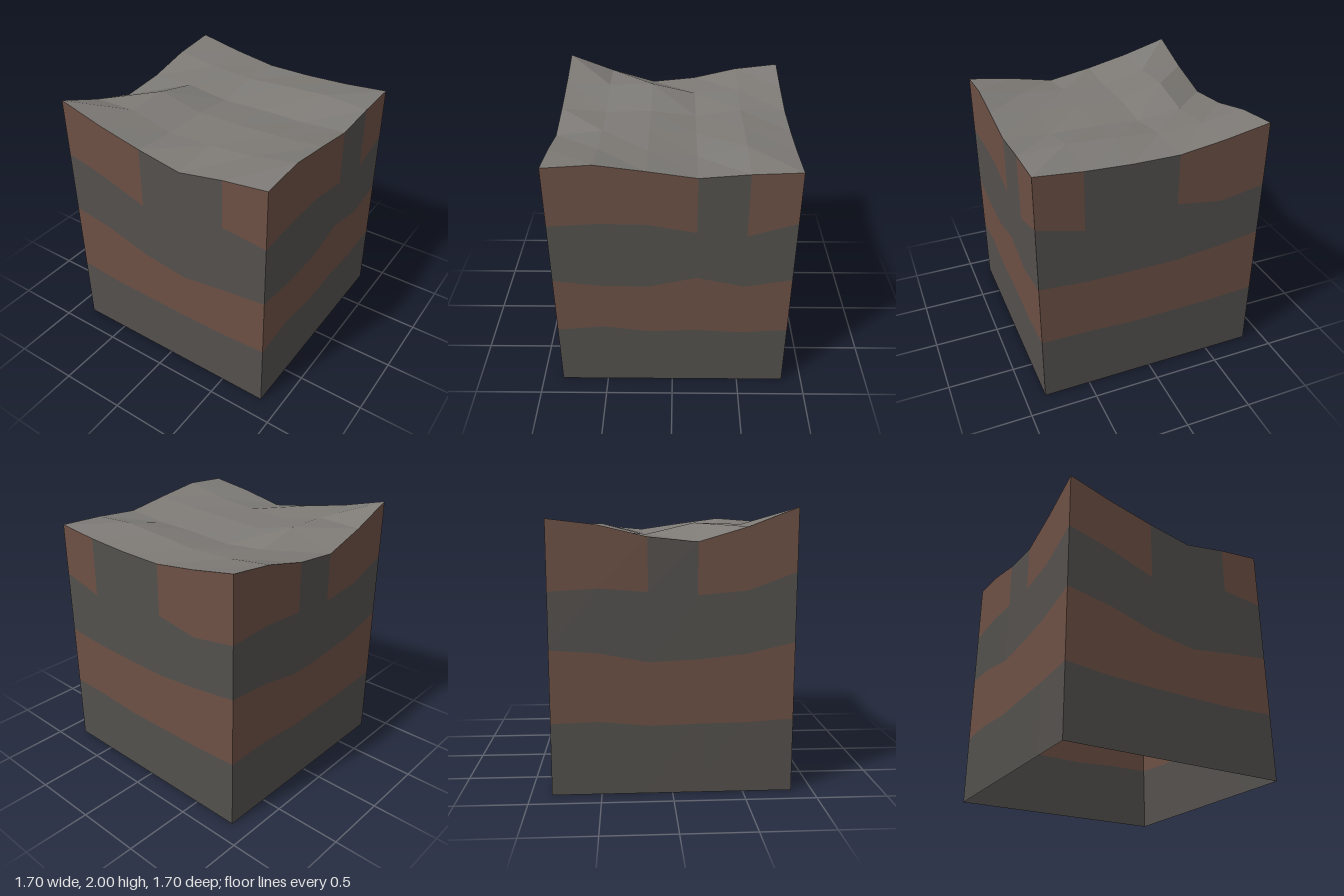
import * as THREE from 'three';

const CELLS = 5, HALF = 0.85, STEP = (2 * HALF) / CELLS;

// Surface heights: rows run back to front, columns from -x to +x
const HEIGHTS = [
  [1.925, 1.86, 1.81, 1.81, 1.825, 1.855],
  [1.885, 1.84, 1.82, 1.845, 1.865, 1.84],
  [1.805, 1.81, 1.77, 1.785, 1.785, 1.81],
  [1.77, 1.89, 1.81, 1.82, 1.83, 1.86],
  [1.87, 1.88, 1.80, 1.81, 1.84, 1.905],
  [2.0, 1.905, 1.83, 1.77, 1.835, 1.88],
];

// Layer boundaries around the block: front, right-hand side, back, left-hand side
const LOWER = [0.53, 0.50, 0.49, 0.485, 0.485, 0.505, 0.54, 0.495, 0.51, 0.49,
  0.515, 0.51, 0.49, 0.495, 0.50, 0.52, 0.53, 0.495, 0.505, 0.51];
const MIDDLE = [1.08, 1.02, 0.92, 0.87, 0.92, 0.965, 0.925, 0.92, 1.0, 0.925,
  0.985, 0.96, 0.955, 0.955, 0.99, 1.04, 1.015, 0.95, 0.965, 1.0];
const UPPER = [1.565, 1.48, 1.365, 1.4, 1.465, 1.43, 1.455, 1.45, 1.385, 1.36,
  1.465, 1.38, 1.4, 1.43, 1.38, 1.44, 1.46, 1.435, 1.41, 1.44];

// Wall columns where the dark rock reaches the surface
const GAPS = new Set([2, 3, 8, 11, 12, 17]);

// Grid points around the edge, counterclockwise from the front -x corner
const RIM = [];
for (let side = 0; side < 4; side++) {
  for (let n = 0; n < CELLS; n++) {
    RIM.push([[n, CELLS], [CELLS, CELLS - n], [CELLS - n, 0], [0, n]][side]);
  }
}

const point = ([i, k], y) => [i * STEP - HALF, y, k * STEP - HALF];

function meshFromQuads(name, quads, material) {
  const positions = [];
  for (const [a, b, c, d] of quads) positions.push(...a, ...b, ...c, ...a, ...c, ...d);
  const geometry = new THREE.BufferGeometry();
  geometry.setAttribute('position', new THREE.Float32BufferAttribute(positions, 3));
  geometry.computeVertexNormals();
  const mesh = new THREE.Mesh(geometry, material);
  mesh.name = name;
  return mesh;
}

// A ring of wall panels between two boundary lines
function layer(name, bottom, top, material, keep = () => true) {
  const quads = [];
  RIM.forEach((p, n) => {
    if (!keep(n)) return;
    const m = (n + 1) % RIM.length, q = RIM[m];
    quads.push([point(p, bottom[n]), point(q, bottom[m]), point(q, top[m]), point(p, top[n])]);
  });
  return meshFromQuads(name, quads, material);
}

function material(name, color) {
  const m = new THREE.MeshStandardMaterial({ color, side: THREE.DoubleSide, flatShading: true });
  m.name = name;
  return m;
}

export function createModel() {
  const darkRock = material('dark rock', 0x53504d);
  const redRock = material('red rock', 0x6c5045);
  const surfaceRock = material('surface rock', 0x7d7a76);

  const group = new THREE.Group();
  group.name = 'rockBlock';

  // Open-bottomed walls with banded layers
  const base = RIM.map(() => 0);
  const edge = RIM.map(([i, k]) => HEIGHTS[k][i]);
  group.add(
    layer('lowerDarkLayer', base, LOWER, darkRock),
    layer('lowerRedLayer', LOWER, MIDDLE, redRock),
    layer('upperDarkLayer', MIDDLE, UPPER, darkRock),
    layer('upperRedLayer', UPPER, edge, redRock, (n) => !GAPS.has(n)),
    layer('darkOutcrops', UPPER, edge, darkRock, (n) => GAPS.has(n)),
  );

  // Uneven top surface
  const quads = [];
  for (let k = 0; k < CELLS; k++) {
    for (let i = 0; i < CELLS; i++) {
      const corners = [[i, k + 1], [i + 1, k + 1], [i + 1, k], [i, k]];
      quads.push(corners.map((c) => point(c, HEIGHTS[c[1]][c[0]])));
    }
  }
  group.add(meshFromQuads('topSurface', quads, surfaceRock));
  return group;
}
